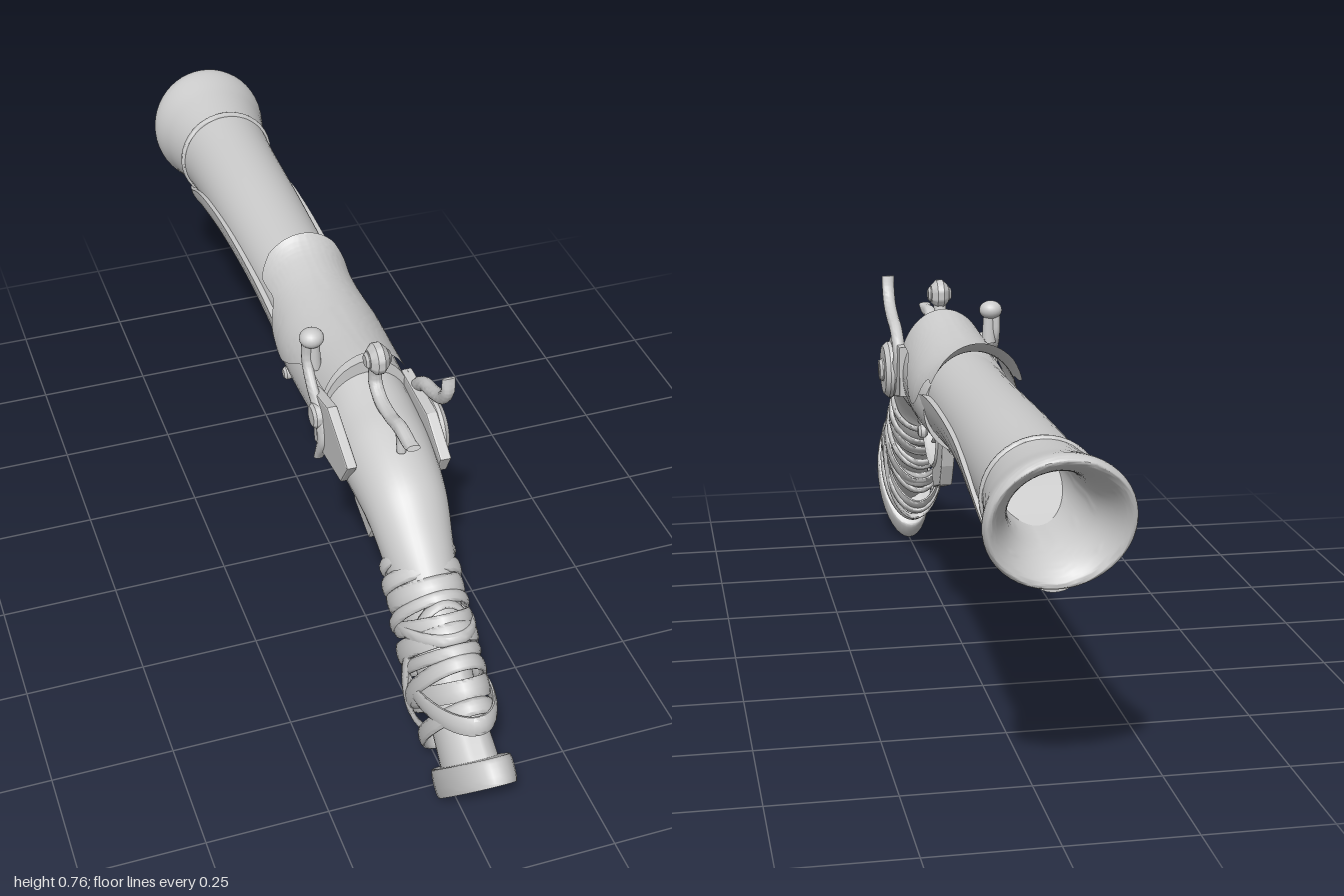
import * as THREE from 'three';
import { mergeVertices, toCreasedNormals } from 'three/addons/utils/BufferGeometryUtils.js';

const V = (x, y, z) => new THREE.Vector3(x, y, z);

// Grid surface from fn(u, v); closed solids are turned to face outward
function surface(fn, nu, nv, { caps = false, open = false, crease = 0.8 } = {}) {
  const pos = [], idx = [], row = nv + 1;
  for (let i = 0; i <= nu; i++) for (let j = 0; j <= nv; j++) pos.push(...fn(i / nu, !open && j === nv ? 0 : j / nv).toArray());
  for (let i = 0; i < nu; i++) for (let j = 0; j < nv; j++) {
    const a = i * row + j, b = a + row;
    idx.push(a, b, a + 1, b, b + 1, a + 1);
  }
  if (caps) for (const i of [0, nu]) {
    const mid = V(0, 0, 0), c = pos.length / 3;
    for (let j = 0; j < nv; j++) mid.add(V().fromArray(pos, (i * row + j) * 3));
    pos.push(...mid.divideScalar(nv).toArray());
    for (let j = 0; j < nv; j++) {
      const a = i * row + j;
      idx.push(...(i ? [a, c, a + 1] : [a, a + 1, c]));
    }
  }
  let vol = 0;
  const p = (k) => V().fromArray(pos, idx[k] * 3);
  for (let k = 0; k < idx.length; k += 3) vol += p(k).dot(p(k + 1).cross(p(k + 2)));
  if (vol < 0 && !open) idx.reverse();
  const g = new THREE.BufferGeometry();
  g.setAttribute('position', new THREE.Float32BufferAttribute(pos, 3));
  g.setIndex(idx);
  return toCreasedNormals(mergeVertices(g, 1e-5), crease);
}

// Loft through keys [topZ, topY, bottomZ, bottomY, halfWidth, edgeY]
// mode: full section, half (flat top, round belly) or shell (open arc above edgeY)
function loft(keys, { mode = 'full', nu = keys.length * 6, nv = 36, x = 0, crease } = {}) {
  const top = new THREE.CatmullRomCurve3(keys.map((k) => V(k[4], k[1], k[0])));
  const bot = new THREE.CatmullRomCurve3(keys.map((k) => V(k[5] ?? 0, k[3], k[2])));
  return surface((u, v) => {
    const t = top.getPoint(u), b = bot.getPoint(u), rx = t.x, edge = b.x;
    const mid = t.clone().add(b).multiplyScalar(0.5);
    let a = v * Math.PI * 2;
    if (mode === 'shell') {
      const a0 = Math.asin(THREE.MathUtils.clamp((edge - mid.y) / (t.y - mid.y), -1, 0.97));
      a = a0 + v * (Math.PI - 2 * a0);
    }
    let s = Math.sin(a);
    if (mode === 'half') s = s > 0 ? 1 : 1 + 2 * s;
    return V(x + rx * Math.cos(a), mid.y + (t.y - mid.y) * s, mid.z + (t.z - mid.z) * s);
  }, nu, nv, { caps: mode !== 'shell', open: mode === 'shell', crease });
}

// Bent bar in the side plane through points [z, y, halfThickness]
function bar(pts, halfWidth, x = 0) {
  const keys = pts.map(([z, y, h], i) => {
    const a = pts[Math.max(i - 1, 0)], b = pts[Math.min(i + 1, pts.length - 1)];
    const dz = b[0] - a[0], dy = b[1] - a[1], l = Math.hypot(dz, dy);
    const nz = -dy / l * h, ny = dz / l * h;
    return [z + nz, y + ny, z - nz, y - ny, halfWidth];
  });
  return loft(keys, { nv: 14, x });
}

// Flat plate in the side plane from a [z, y] outline
function plate(pts, x, depth) {
  const shape = new THREE.Shape(pts.map(([z, y]) => new THREE.Vector2(z, y)));
  const g = new THREE.ExtrudeGeometry(shape, { depth, bevelEnabled: true, bevelSize: 0.004, bevelThickness: 0.004, bevelSegments: 2 });
  return g.rotateY(-Math.PI / 2).translate(x + depth / 2, 0, 0);
}

// Disc with a round edge, axis along x
function disc(r, w, x, y, z, e = 0.006) {
  const P = [[0, -w / 2], [r - e, -w / 2], [r, -w / 2 + e], [r, w / 2 - e], [r - e, w / 2], [0, w / 2]];
  const g = new THREE.LatheGeometry(P.map((p) => new THREE.Vector2(...p)), 28);
  return toCreasedNormals(g.rotateZ(-Math.PI / 2), 0.6).translate(x, y, z);
}

// Strap round an oval section given by its top and bottom points
function strap(t, b, rx, halfWide, thick) {
  const mz = (t[0] + b[0]) / 2, my = (t[1] + b[1]) / 2, hz = t[0] - mz, hy = t[1] - my;
  const l = Math.hypot(hz, hy);
  return surface((u, v) => {
    const a = u >= 1 ? 0 : u * Math.PI * 2, q = v * Math.PI * 2;
    const k = thick * Math.cos(q), w = halfWide * Math.sin(q), s = Math.sin(a) * (1 + k / l);
    return V((rx + k) * Math.cos(a), my + hy * s - hz / l * w, mz + hz * s + hy / l * w);
  }, 40, 10, { crease: 1.2 });
}

export function createModel() {
  const model = new THREE.Group();
  const grey = new THREE.MeshStandardMaterial({ color: 0xcccccc });
  const thin = new THREE.MeshStandardMaterial({ color: 0xcccccc, side: THREE.DoubleSide });
  const add = (name, geo, mat = grey) => {
    const m = new THREE.Mesh(geo, mat);
    m.name = name;
    model.add(m);
  };

  // Flared barrel running over its rounded lip into the bore
  add('barrel', loft([
    [0.2, 0.665, 0.2, 0.495, 0.088], [-0.2, 0.668, -0.2, 0.497, 0.09], [-0.5, 0.677, -0.5, 0.492, 0.096],
    [-0.79, 0.683, -0.77, 0.474, 0.104], [-0.9, 0.692, -0.86, 0.459, 0.12], [-0.985, 0.705, -0.915, 0.446, 0.134],
    [-1, 0.698, -0.93, 0.453, 0.128], [-0.985, 0.682, -0.923, 0.47, 0.112], [-0.9, 0.655, -0.87, 0.503, 0.08],
    [-0.6, 0.645, -0.6, 0.52, 0.066],
  ], { nu: 72, nv: 48 }));
  add('barrelCollar', strap([-0.797, 0.683], [-0.782, 0.473], 0.105, 0.009, 0.006));

  // Wooden fore-end cradling the barrel
  add('foreStock', loft([
    [0.0, 0.575, 0.0, 0.472, 0.1], [-0.1, 0.595, -0.1, 0.472, 0.1], [-0.29, 0.604, -0.29, 0.488, 0.1],
    [-0.5, 0.6, -0.5, 0.486, 0.104], [-0.64, 0.577, -0.64, 0.478, 0.107], [-0.77, 0.515, -0.77, 0.459, 0.095],
    [-0.86, 0.475, -0.86, 0.444, 0.066], [-0.915, 0.455, -0.915, 0.44, 0.03],
  ], { mode: 'half', nu: 56 }));

  // Receiver body and the flared cover over it
  add('receiver', loft([
    [0.236, 0.685, 0.236, 0.44, 0.095], [0.1, 0.676, 0.1, 0.452, 0.102],
    [0, 0.668, 0, 0.462, 0.104], [-0.09, 0.66, -0.1, 0.464, 0.098],
  ]));
  add('receiverCover', loft([
    [0.24, 0.708, 0.24, 0.44, 0.1, 0.632], [0.14, 0.692, 0.14, 0.45, 0.106, 0.625], [0.06, 0.684, 0.06, 0.458, 0.11, 0.58],
    [0, 0.681, 0, 0.463, 0.111, 0.555], [-0.06, 0.682, -0.06, 0.466, 0.107, 0.58], [-0.1, 0.686, -0.1, 0.468, 0.104, 0.628],
    [-0.15, 0.697, -0.15, 0.466, 0.103, 0.632], [-0.175, 0.709, -0.175, 0.46, 0.105, 0.64], [-0.192, 0.722, -0.192, 0.45, 0.107, 0.685],
  ], { mode: 'shell', nu: 60 }), thin);
  for (const s of [-1, 1]) {
    add('receiverScrew', disc(0.014, 0.02, s * 0.088, 0.497, -0.016, 0.005));
    add('receiverRim', bar([[0.24, 0.445, 0.008], [0.1, 0.458, 0.008], [-0.09, 0.468, 0.008]], 0.012, s * 0.03));
  }

  // Wrist and the slim grip core
  add('gripStock', loft([
    [0.2, 0.665, 0.2, 0.445, 0.092], [0.3, 0.643, 0.3, 0.443, 0.095], [0.38, 0.628, 0.37, 0.442, 0.092],
    [0.5, 0.582, 0.46, 0.425, 0.082], [0.58, 0.51, 0.51, 0.38, 0.071], [0.64, 0.45, 0.54, 0.33, 0.064],
    [0.7, 0.385, 0.61, 0.265, 0.056], [0.78, 0.3, 0.69, 0.19, 0.05], [0.91, 0.22, 0.8, 0.1, 0.054],
  ], { nu: 60 }));

  // Leather straps, some laid crosswise
  const line = (p) => new THREE.CatmullRomCurve3(p.map(([z, y]) => V(0, y, z)));
  const back = line([[0.58, 0.485], [0.65, 0.444], [0.716, 0.41], [0.78, 0.375], [0.845, 0.33], [0.9, 0.29]]);
  const belly = line([[0.51, 0.36], [0.535, 0.3], [0.566, 0.246], [0.604, 0.18], [0.647, 0.11], [0.727, 0.07]]);
  [[0, 0], [0.1, 0.12], [0.2, 0.2], [0.26, 0.38], [0.4, 0.34], [0.46, 0.52], [0.56, 0.6],
    [0.62, 0.78], [0.75, 0.72], [0.3, 0.9], [0.84, 0.95], [0.95, 0.5], [0.5, 0.2]].forEach(([a, b], i) => {
    const t = back.getPoint(a), u = belly.getPoint(b);
    add('gripStrap', strap([t.z, t.y], [u.z, u.y], 0.071 - 0.006 * a + 0.003 * (i % 2), 0.013 + 0.004 * (i % 3), 0.006));
  });

  // Butt cap
  add('buttCap', loft([
    [0.955, 0.285, 0.75, 0.052, 0.062], [0.96, 0.287, 0.747, 0.045, 0.066],
    [0.995, 0.265, 0.775, 0.006, 0.066], [1, 0.258, 0.785, 0.002, 0.063],
  ], { nu: 12, crease: 0.7 }));

  // Trigger, guard, finger spur and hanging blade
  add('triggerGuard', bar([[0.435, 0.445, 0.007], [0.43, 0.39, 0.008], [0.385, 0.345, 0.008], [0.32, 0.327, 0.009],
    [0.26, 0.35, 0.008], [0.232, 0.4, 0.008], [0.225, 0.45, 0.009]], 0.02));
  add('trigger', bar([[0.31, 0.45, 0.012], [0.315, 0.42, 0.011], [0.335, 0.385, 0.008], [0.36, 0.37, 0.004]], 0.01));
  add('gripSpur', bar([[0.56, 0.4, 0.014], [0.51, 0.385, 0.014], [0.475, 0.385, 0.011], [0.46, 0.37, 0.004]], 0.018));
  add('hangingBlade', plate([[0.13, 0.452], [0.175, 0.42], [0.19, 0.36], [0.215, 0.31], [0.3, 0.282], [0.315, 0.31],
    [0.262, 0.355], [0.235, 0.4], [0.235, 0.45]], 0, 0.022));

  // Lock on the left side: plate, wheel, screw and swept jaw
  add('lockPlate', plate([[0.22, 0.52], [0.22, 0.625], [0.36, 0.62], [0.44, 0.57], [0.42, 0.53], [0.33, 0.495]], 0.092, 0.016));
  add('lockWheel', disc(0.064, 0.028, 0.112, 0.556, 0.322, 0.01));
  add('lockScrew', disc(0.026, 0.016, 0.127, 0.556, 0.322, 0.006));
  add('screwRib', new THREE.BoxGeometry(0.006, 0.044, 0.007).rotateX(0.5).translate(0.133, 0.556, 0.322));
  add('sweptJaw', bar([[0.425, 0.753, 0.003], [0.423, 0.722, 0.011], [0.4, 0.69, 0.014], [0.355, 0.668, 0.015],
    [0.3, 0.65, 0.015], [0.26, 0.61, 0.017], [0.275, 0.55, 0.02]], 0.014, 0.098));

  // Central hammer with round jaw
  add('hammer', bar([[0.505, 0.668, 0.006], [0.485, 0.662, 0.012], [0.43, 0.662, 0.015], [0.38, 0.65, 0.011],
    [0.32, 0.648, 0.014], [0.285, 0.672, 0.015], [0.292, 0.725, 0.015]], 0.014));
  add('hammerPost', bar([[0.43, 0.66, 0.012], [0.44, 0.61, 0.01]], 0.009));
  add('hammerJaw', disc(0.032, 0.038, 0, 0.732, 0.295, 0.012));
  add('hammerJawCore', disc(0.017, 0.052, 0, 0.732, 0.295, 0.005));

  // Right side: serpentine arm, knob and side plate
  add('sidePlate', plate([[0.22, 0.5], [0.2, 0.61], [0.3, 0.635], [0.42, 0.58], [0.38, 0.52]], -0.094, 0.014));
  add('serpentineArm', bar([[0.17, 0.715, 0.013], [0.172, 0.66, 0.013], [0.205, 0.62, 0.016], [0.25, 0.59, 0.02],
    [0.27, 0.54, 0.016], [0.245, 0.475, 0.006]], 0.011, -0.104));
  add('armPivot', disc(0.026, 0.024, -0.11, 0.585, 0.25));
  add('armKnob', new THREE.SphereGeometry(0.024, 20, 14).scale(1.05, 0.85, 1).translate(-0.094, 0.717, 0.17));
  add('knobStem', new THREE.CylinderGeometry(0.012, 0.016, 0.06, 16).translate(-0.09, 0.675, 0.17));

  return model;
}
